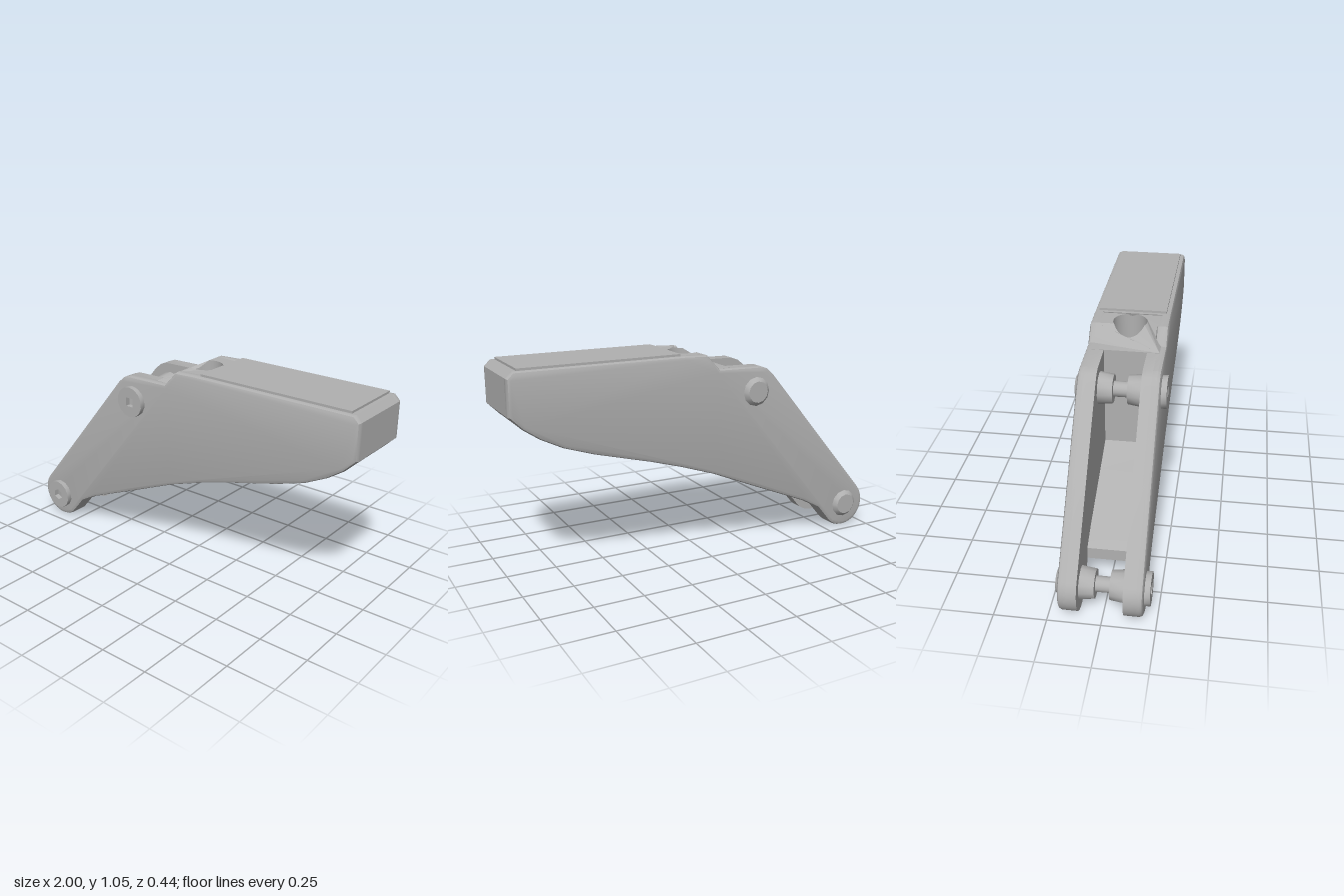
import * as THREE from 'three';
import { toCreasedNormals } from 'three/addons/utils/BufferGeometryUtils.js';

const metal = new THREE.MeshStandardMaterial({ color: 0xb0b0b0 });
metal.name = 'grey metal';

const shapeOf = (pts) => new THREE.Shape(pts.map(([x, y]) => new THREE.Vector2(x, y)));

// Extrude an x-y shape between two z positions, optionally with chamfered edges
function extrude(shape, z0, z1, bevel = 0) {
  const geo = new THREE.ExtrudeGeometry(shape, {
    depth: z1 - z0 - 2 * bevel, curveSegments: 14,
    bevelEnabled: bevel > 0, bevelThickness: bevel, bevelSize: bevel,
    bevelOffset: -bevel, bevelSegments: 2,
  });
  geo.translate(0, 0, z0 + bevel);
  return toCreasedNormals(geo, 0.5);
}

// Cylinder along z between two positions
function rod(r0, r1, z0, z1, sides = 12) {
  const geo = new THREE.CylinderGeometry(r1, r0, z1 - z0, sides);
  geo.rotateX(Math.PI / 2);
  geo.translate(0, 0, (z0 + z1) / 2);
  return toCreasedNormals(geo, 0.6);
}

const LOW = [-0.87, 0.14];   // lower pin
const HIGH = [-0.28, 0.835]; // upper pin
const BOTTOM = [[-0.7, 0.14], [-0.6, 0.195], [-0.3, 0.32], [-0.04, 0.43]];
const BELLY = [[0.15, 0.495], [0.3, 0.54], [0.6, 0.62], [0.75, 0.67], [0.86, 0.725], [0.94, 0.78], [1, 0.84]];
const KNEE = [[-0.07, 0.965], [-0.31, 0.96], [-0.35, 0.945], [-0.385, 0.915]];

// Side outline: rounded foot, underside, then back along the top
function outline(right) {
  const s = new THREE.Shape();
  s.absarc(LOW[0], LOW[1], 0.13, THREE.MathUtils.degToRad(140), THREE.MathUtils.degToRad(320), false);
  [...BOTTOM, ...right, ...KNEE].forEach(([x, y]) => s.lineTo(x, y));
  return s;
}

// Height of the top surface along x
const topY = (x) => 0.965 + 0.075 * THREE.MathUtils.clamp((x + 0.07) / 0.07, 0, 1);

// Block with the vertical bore; its top follows the step
function boreBlock() {
  const w = 0.165;
  const s = shapeOf([[-0.14, -w], [-0.07, -w], [0, -w], [0.15, -w], [0.15, w], [0, w], [-0.07, w], [-0.14, w]]);
  const hole = new THREE.Path();
  hole.absarc(0.04, 0, 0.085, 0, Math.PI * 2, true);
  s.holes.push(hole);
  const geo = new THREE.ExtrudeGeometry(s, { depth: 1, bevelEnabled: false, curveSegments: 20 });
  geo.rotateX(-Math.PI / 2);
  const p = geo.attributes.position;
  for (let i = 0; i < p.count; i++) p.setY(i, p.getY(i) > 0.5 ? topY(p.getX(i)) : 0.79);
  geo.computeVertexNormals();
  return toCreasedNormals(geo, 0.5);
}

// Pin head with a recessed socket
function socketHead(sides) {
  const ring = (r, n) => Array.from({ length: n }, (_, i) => {
    const a = (i + 0.5) / n * Math.PI * 2;
    return [r * Math.cos(a), r * Math.sin(a)];
  });
  const s = shapeOf(ring(0.08, 14));
  s.holes.push(new THREE.Path(ring(0.032, sides).map(([x, y]) => new THREE.Vector2(x, y))));
  return extrude(s, 0.19, 0.222);
}

export function createModel() {
  const model = new THREE.Group();
  model.name = 'leverArm';
  const add = (name, geo, parent = model) => {
    const mesh = new THREE.Mesh(geo, metal);
    mesh.name = name;
    parent.add(mesh);
    return mesh;
  };

  // Side plates, thicker along the fork
  const full = outline([...BELLY, [1, 1.015], [0.97, 1.045], [0.12, 1.045], [0, 1.04]]);
  const fork = outline([[-0.04, 0.965]]);
  add('frontPlate', extrude(full, 0.135, 0.195, 0.018));
  add('backPlate', extrude(full, -0.195, -0.135, 0.018));
  add('frontForkCheek', extrude(fork, 0.105, 0.165));
  add('backForkCheek', extrude(fork, -0.165, -0.105));

  // Sloping floor of the fork
  const floor = [...BOTTOM, ...BOTTOM.slice().reverse().map(([x, y]) => [x, y + 0.06])];
  add('forkFloor', extrude(shapeOf(floor), -0.165, 0.165));

  // Cross wall with a rounded shoulder below the bore
  const wall = new THREE.Shape();
  wall.moveTo(-0.14, 0.4);
  wall.lineTo(-0.04, 0.43);
  wall.lineTo(-0.02, 0.445);
  wall.lineTo(-0.02, 0.67);
  wall.quadraticCurveTo(0.13, 0.68, 0.15, 0.8);
  wall.lineTo(-0.14, 0.8);
  add('crossWall', extrude(wall, -0.165, 0.165));
  add('boreBlock', boreBlock());

  // Roof and nose of the hollow handle
  add('roofAndNose', extrude(shapeOf([
    [0.14, 0.98], [0.92, 0.98], [0.935, 0.96], [0.935, 0.78], [0.95, 0.79], [1, 0.84],
    [1, 1.015], [0.97, 1.045], [0.12, 1.045],
  ]), -0.165, 0.165));
  const pad = new THREE.BoxGeometry(0.81, 0.012, 0.34);
  pad.translate(0.545, 1.05, 0);
  add('topPad', pad);

  // Stud on the cross wall
  const stud = new THREE.CylinderGeometry(0.073, 0.073, 0.1, 14);
  stud.rotateZ(Math.PI / 2);
  stud.translate(0.02, 0.56, 0);
  add('stud', toCreasedNormals(stud, 0.6));

  // Pins: heads, inner collars and thin shaft
  [['lowerPin', LOW, 6], ['upperPin', HIGH, 4]].forEach(([name, [x, y], sides]) => {
    const pin = new THREE.Group();
    pin.name = name;
    pin.position.set(x, y, 0);
    add('frontHead', socketHead(sides), pin);
    add('backHead', rod(0.055, 0.08, -0.215, -0.19), pin);
    add('shaft', rod(0.038, 0.038, -0.12, 0.12), pin);
    add('frontCollar', rod(0.07, 0.08, 0.035, 0.11), pin);
    add('backCollar', rod(0.08, 0.07, -0.11, -0.035), pin);
    model.add(pin);
  });

  model.position.z = -0.005;
  return model;
}
